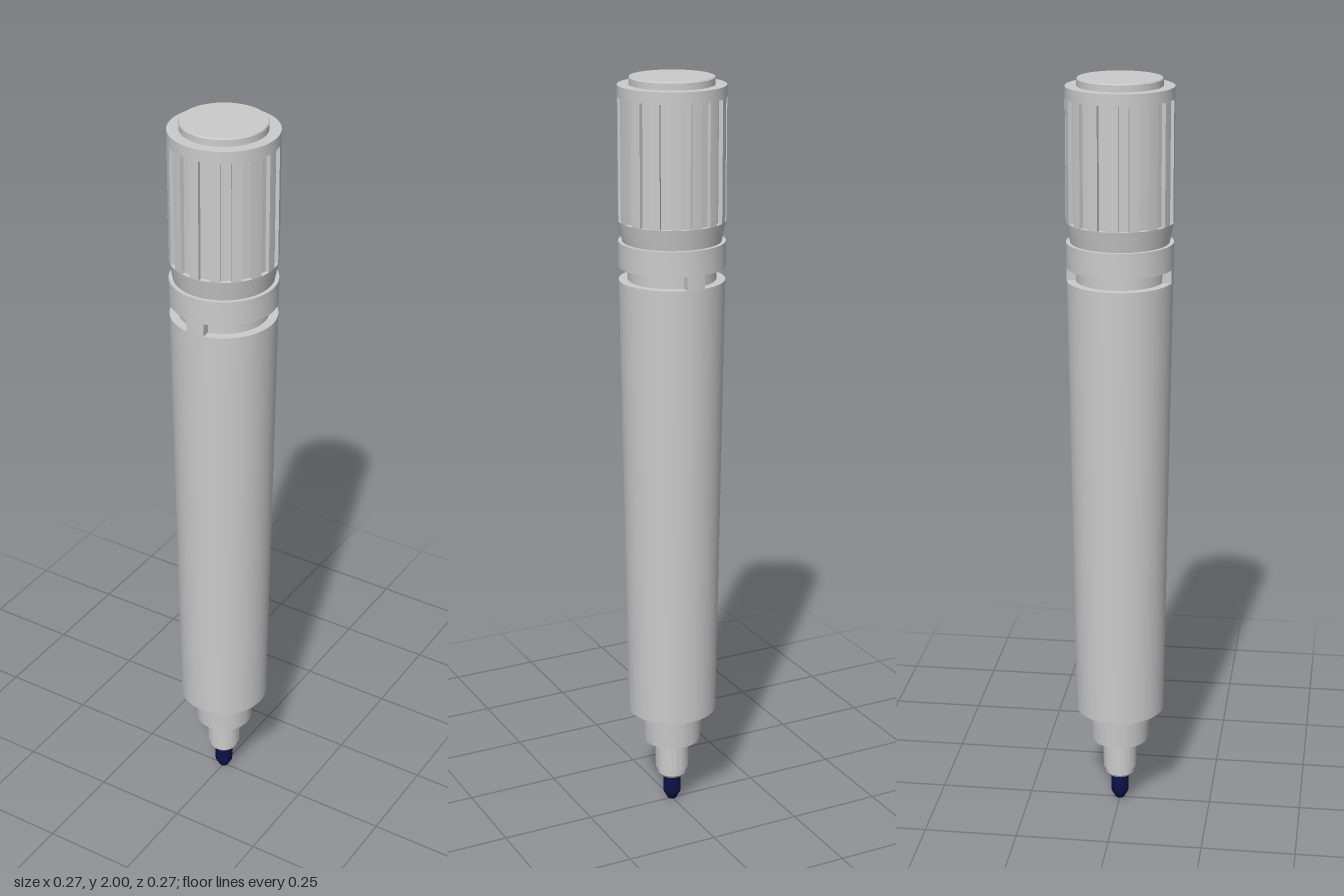
import * as THREE from 'three';
import { toCreasedNormals } from 'three/addons/utils/BufferGeometryUtils.js';

const grey = new THREE.MeshStandardMaterial({ color: 0xcccccc });
const ink = new THREE.MeshStandardMaterial({ color: 0x0c1248 });
const SEGMENTS = 48;

export function createModel() {
  const pen = new THREE.Group();
  pen.name = 'markerPen';

  function add(name, geometry, material = grey) {
    const mesh = new THREE.Mesh(toCreasedNormals(geometry, 0.5), material);
    mesh.name = name;
    pen.add(mesh);
    return mesh;
  }

  // Turned part: profile of [radius, height] running from bottom to top
  const turned = (name, profile, material) => add(name,
    new THREE.LatheGeometry(profile.map(([r, y]) => new THREE.Vector2(r, y)), SEGMENTS), material);

  // Plan outline extruded upwards between two heights
  function upright(name, points, y0, y1) {
    const geometry = new THREE.ExtrudeGeometry(new THREE.Shape(points),
      { depth: y1 - y0, bevelEnabled: false });
    geometry.rotateX(-Math.PI / 2).translate(0, y0, 0);
    return add(name, geometry);
  }
  const polar = (r, a) => new THREE.Vector2(r * Math.cos(a), r * Math.sin(a));

  // Writing end
  turned('nib', [[0, 0], [0.012, 0.002], [0.024, 0.024], [0.024, 0.085], [0, 0.085]], ink);
  turned('nibFerrule', [
    [0, 0.078], [0.034, 0.078], [0.039, 0.085], [0.039, 0.1],
    [0.045, 0.102], [0.046, 0.19], [0, 0.19],
  ]);
  turned('frontCollar', [[0, 0.19], [0.077, 0.19], [0.082, 0.285], [0, 0.285]]);

  // Tapered barrel with the slotted ring at its upper end
  turned('barrel', [[0, 0.285], [0.119, 0.285], [0.136, 1.487], [0, 1.487]]);
  turned('slotFloor', [[0.113, 1.48], [0.113, 1.53]]);
  turned('barrelRing', [[0, 1.522], [0.137, 1.522], [0.137, 1.587], [0, 1.587]]);

  // Bridges joining ring and barrel at front and back
  for (const [name, middle] of [['frontBridge', -Math.PI / 2], ['backBridge', Math.PI / 2]]) {
    const points = [polar(0.11, middle - 0.2)];
    for (let i = 0; i <= 4; i++) points.push(polar(0.1365, middle - 0.18 + 0.09 * i));
    points.push(polar(0.11, middle + 0.2));
    upright(name, points, 1.485, 1.524);
  }

  // Cap foot, grooved grip and top
  turned('capFoot', [[0, 1.585], [0.126, 1.585], [0.137, 1.64], [0, 1.64]]);

  const FLUTES = 16, step = Math.PI * 2 / FLUTES, half = 0.1;
  const outline = [];
  for (let i = 0; i < FLUTES; i++) {
    const rib = i * step, edge = step / 2 - half;
    for (const t of [-1, 0, 1]) outline.push(polar(0.137, rib + t * edge));
    outline.push(polar(0.126, rib + edge), polar(0.126, rib + step - edge));
  }
  upright('capGrip', outline, 1.64, 1.95);

  turned('capRim', [[0, 1.95], [0.137, 1.95], [0.137, 1.98], [0, 1.98]]);
  turned('capButton', [[0, 1.975], [0.108, 1.975], [0.108, 1.997], [0.106, 2], [0, 2]]);

  return pen;
}
